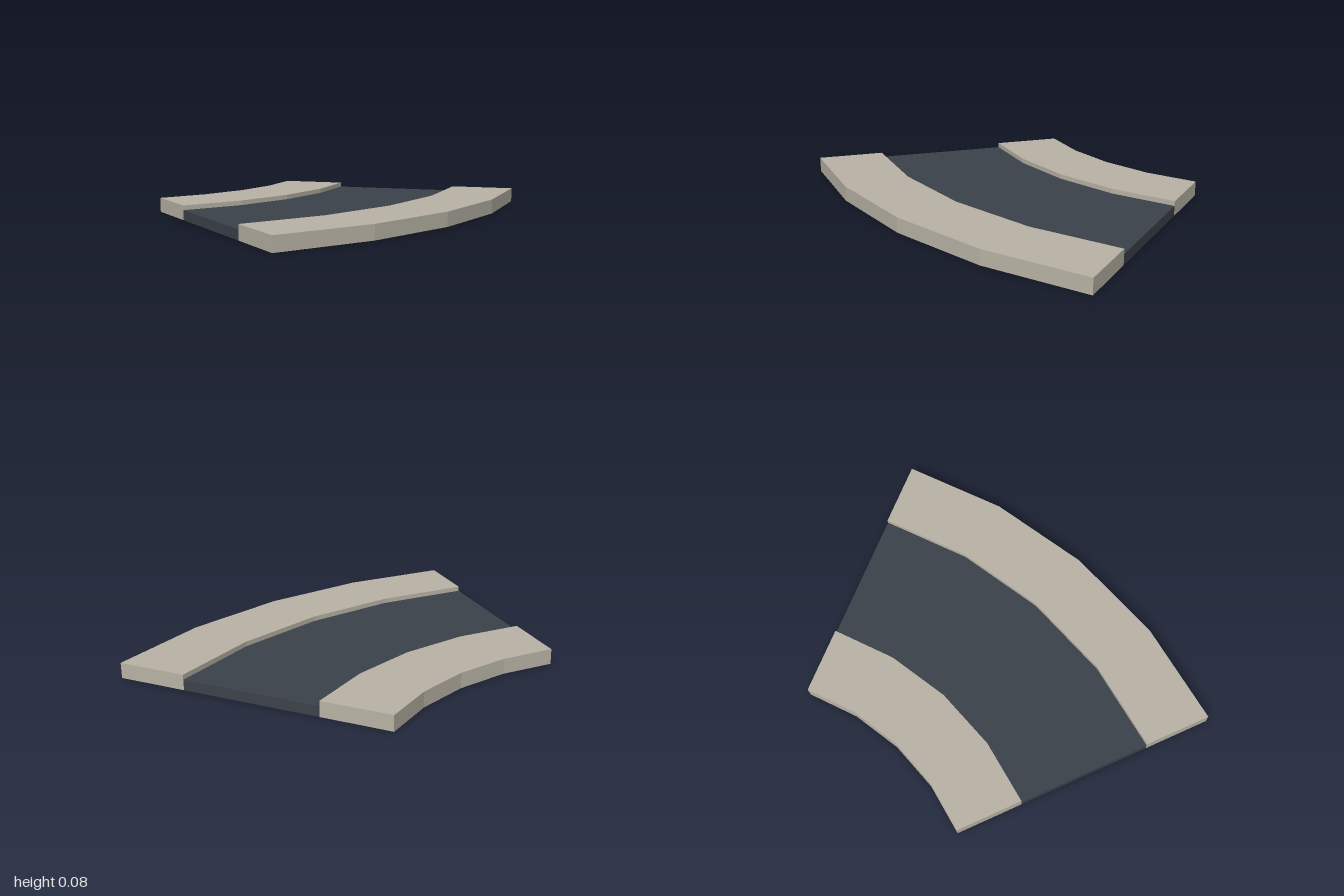
import * as THREE from 'three';

const SEGMENTS = 4;
const SWEEP = Math.PI / 4;
const R = Math.SQRT2;              // inner radius; the outer radius is twice this
const CX = -0.5 - R, CZ = -1;      // centre of the bend

// Point on the bend: radius, height, segment index
const at = (r, y, i) => {
  const t = (SWEEP * i) / SEGMENTS;
  return [CX + r * Math.cos(t), y, CZ + r * Math.sin(t)];
};

// Sweeps an open-bottomed section round the bend and closes both ends
function bend(name, rIn, rOut, height, sideWalls, material) {
  const pos = [];
  const quad = (a, b, c, d) => pos.push(...a, ...b, ...c, ...a, ...c, ...d);
  const section = [[rOut, 0], [rOut, height], [rIn, height], [rIn, 0]];
  const swept = sideWalls ? section : section.slice(1, 3);

  for (let i = 0; i < SEGMENTS; i++) {
    for (let k = 0; k < swept.length - 1; k++) {
      const [r0, y0] = swept[k], [r1, y1] = swept[k + 1];
      quad(at(r0, y0, i), at(r1, y1, i), at(r1, y1, i + 1), at(r0, y0, i + 1));
    }
  }
  quad(...section.map(([r, y]) => at(r, y, SEGMENTS)));
  quad(...section.map(([r, y]) => at(r, y, 0)).reverse());

  const geometry = new THREE.BufferGeometry();
  geometry.setAttribute('position', new THREE.Float32BufferAttribute(pos, 3));
  geometry.computeVertexNormals();
  const mesh = new THREE.Mesh(geometry, material);
  mesh.name = name;
  return mesh;
}

export function createModel() {
  const paving = new THREE.MeshStandardMaterial({ color: 0xb8b3a5, side: THREE.DoubleSide, flatShading: true });
  paving.name = 'paving';
  const asphalt = new THREE.MeshStandardMaterial({ color: 0x3b4249, side: THREE.DoubleSide, flatShading: true });
  asphalt.name = 'asphalt';

  const group = new THREE.Group();
  group.name = 'curvedRoad';
  group.add(
    bend('innerPavement', R, R * 1.25, 0.078, true, paving),
    bend('roadway', R * 1.25, R * 1.75, 0.053, false, asphalt),
    bend('outerPavement', R * 1.75, R * 2, 0.078, true, paving),
  );
  return group;
}
